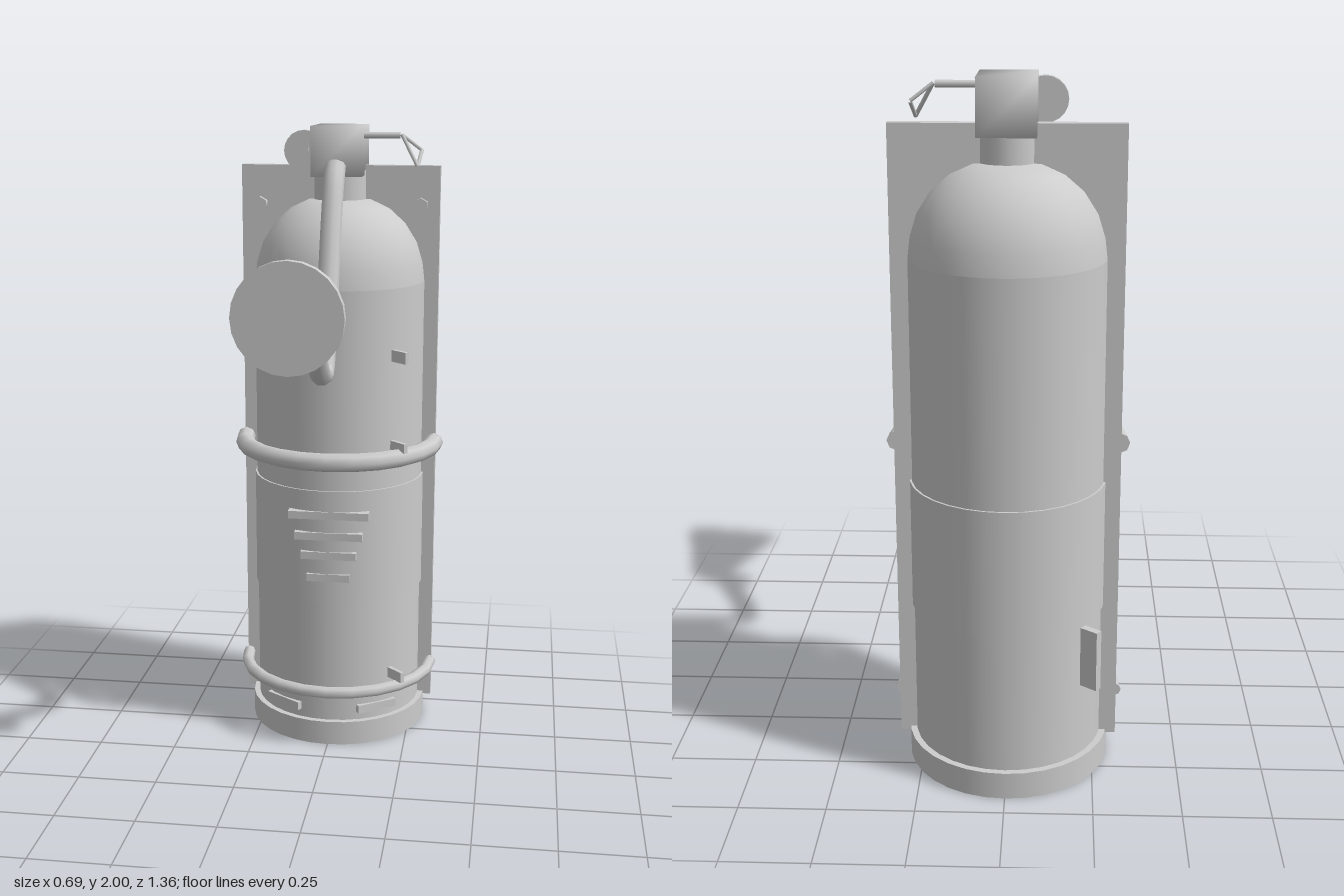
import * as THREE from 'three';
import { mergeVertices } from 'three/addons/utils/BufferGeometryUtils.js';

const TANK_Z = -0.385;
const V = (x, y, z) => new THREE.Vector3(x, y, z);

export function createModel() {
  const root = new THREE.Group();
  root.name = 'fireExtinguisher';
  const grey = new THREE.MeshStandardMaterial({ color: 0xcccccc });
  grey.name = 'plain grey';

  const add = (name, geometry, x = 0, y = 0, z = 0) => {
    const mesh = new THREE.Mesh(geometry, grey);
    mesh.name = name;
    mesh.position.set(x, y, z);
    root.add(mesh);
    return mesh;
  };
  const box = (name, w, h, d, x, y, z) => add(name, new THREE.BoxGeometry(w, h, d), x, y, z);
  const cylinder = (name, r, y0, y1, sides = 32) =>
    add(name, new THREE.CylinderGeometry(r, r, y1 - y0, sides), 0, (y0 + y1) / 2, TANK_Z);
  const rod = (name, points, r, sides = 8) => {
    const path = new THREE.CurvePath();
    for (let i = 1; i < points.length; i++) path.add(new THREE.LineCurve3(points[i - 1], points[i]));
    return add(name, new THREE.TubeGeometry(path, 12 * (points.length - 1), r, sides));
  };
  // Plate standing on the tank wall at an angle measured from the front
  const wallPlate = (name, angle, radius, w, h, d, y) => {
    const mesh = box(name, w, h, d, Math.sin(angle) * radius, y, TANK_Z + Math.cos(angle) * radius);
    mesh.rotation.y = angle;
  };

  // Tank, base and label band
  cylinder('base', 0.294, 0, 0.08);
  cylinder('tank', 0.275, 0.08, 1.51);
  cylinder('labelBand', 0.281, 0.49, 0.87);
  const dome = [[0.275, 1.51], [0.268, 1.57], [0.248, 1.635], [0.21, 1.695], [0.16, 1.74], [0.1, 1.768], [0, 1.775]];
  add('dome', new THREE.LatheGeometry(dome.map(p => new THREE.Vector2(...p)), 32), 0, 0, TANK_Z);

  // Neck and valve head with softened normals
  cylinder('neck', 0.083, 1.76, 1.86, 20);
  let headGeometry = new THREE.BoxGeometry(0.16, 0.155, 0.225);
  headGeometry.deleteAttribute('normal');
  headGeometry.deleteAttribute('uv');
  headGeometry = mergeVertices(headGeometry);
  headGeometry.computeVertexNormals();
  add('valveHead', headGeometry, 0, 1.9225, -0.385);

  // Mounting plate and its bolts
  box('backPlate', 0.64, 1.805, 0.036, 0, 0.9725, -0.407);
  for (const side of [-1, 1]) {
    add('bolt', new THREE.CylinderGeometry(0.025, 0.025, 0.025, 6), side * 0.26, 1.75, -0.378).rotation.x = Math.PI / 2;
  }

  // Half-ring straps
  for (const [y, r] of [[0.975, 0.03], [0.195, 0.02]]) {
    const strap = new THREE.TorusGeometry(0.316, r, 8, 12, Math.PI);
    strap.rotateX(Math.PI / 2);
    add('strap', strap, 0, y, TANK_Z);
    for (const side of [-1, 1]) {
      add('strapEnd', new THREE.CylinderGeometry(r, r, 0.01, 8), side * 0.316, y, TANK_Z).rotation.x = Math.PI / 2;
    }
  }

  // Label bars, shrinking downwards
  [[0.79, 0.26], [0.72, 0.22], [0.655, 0.18], [0.58, 0.14]].forEach(([y, w]) =>
    box('labelBar', w, 0.025, 0.06, 0, y, -0.131));

  // Small lugs on the tank wall
  for (const [y, h] of [[1.3, 0.037], [1.01, 0.03], [0.23, 0.035]]) {
    wallPlate('sideLug', Math.PI / 4, 0.305, 0.014, h, 0.075, y);
  }
  wallPlate('rearLug', -2.22, 0.295, 0.022, 0.18, 0.07, 0.39);
  for (const side of [-1, 1]) wallPlate('lowerClip', side * 0.6, 0.272, 0.14, 0.027, 0.02, 0.12);

  // Pressure gauge
  add('gauge', new THREE.CylinderGeometry(0.063, 0.063, 0.032, 20), -0.1, 1.925, -0.29).rotation.x = Math.PI / 2;
  box('gaugeNeedle', 0.032, 0.012, 0.012, -0.1, 1.93, -0.269);

  // Safety pin and triangular pull ring
  rod('safetyPin', [V(0.07, 1.97, -0.355), V(0.195, 1.97, -0.355)], 0.01);
  const corners = [V(0.2, 1.972, -0.35), V(0.262, 1.925, -0.36), V(0.254, 1.878, -0.295)];
  corners.forEach((p, i) => rod('pullRing', [p, corners[(i + 1) % 3]], 0.006, 6));

  // Hose: straight run down, bend, then up to the horn
  const hosePath = new THREE.CatmullRomCurve3([
    V(0, 1.88, -0.265), V(0, 1.83, -0.225), V(0, 1.7, -0.165), V(0, 1.48, -0.085),
    V(0, 1.31, -0.02), V(0, 1.275, 0.015), V(0, 1.3, 0.09), V(0, 1.37, 0.17), V(0, 1.45, 0.26),
  ], false, 'centripetal');
  add('hose', new THREE.TubeGeometry(hosePath, 32, 0.033, 10));

  // Horn with grip collar and rim
  const collar = add('hornCollar', new THREE.CylinderGeometry(0.047, 0.047, 0.125, 16), 0, 1.463, 0.282);
  collar.scale.x = 1.3;
  const horn = add('horn', new THREE.CylinderGeometry(0.14, 0.052, 0.39, 24), 0, 1.552, 0.46);
  const rim = add('hornRim', new THREE.CylinderGeometry(0.149, 0.149, 0.03, 24), 0, 1.552, 0.668);
  horn.rotation.x = rim.rotation.x = Math.PI / 2;

  return root;
}
